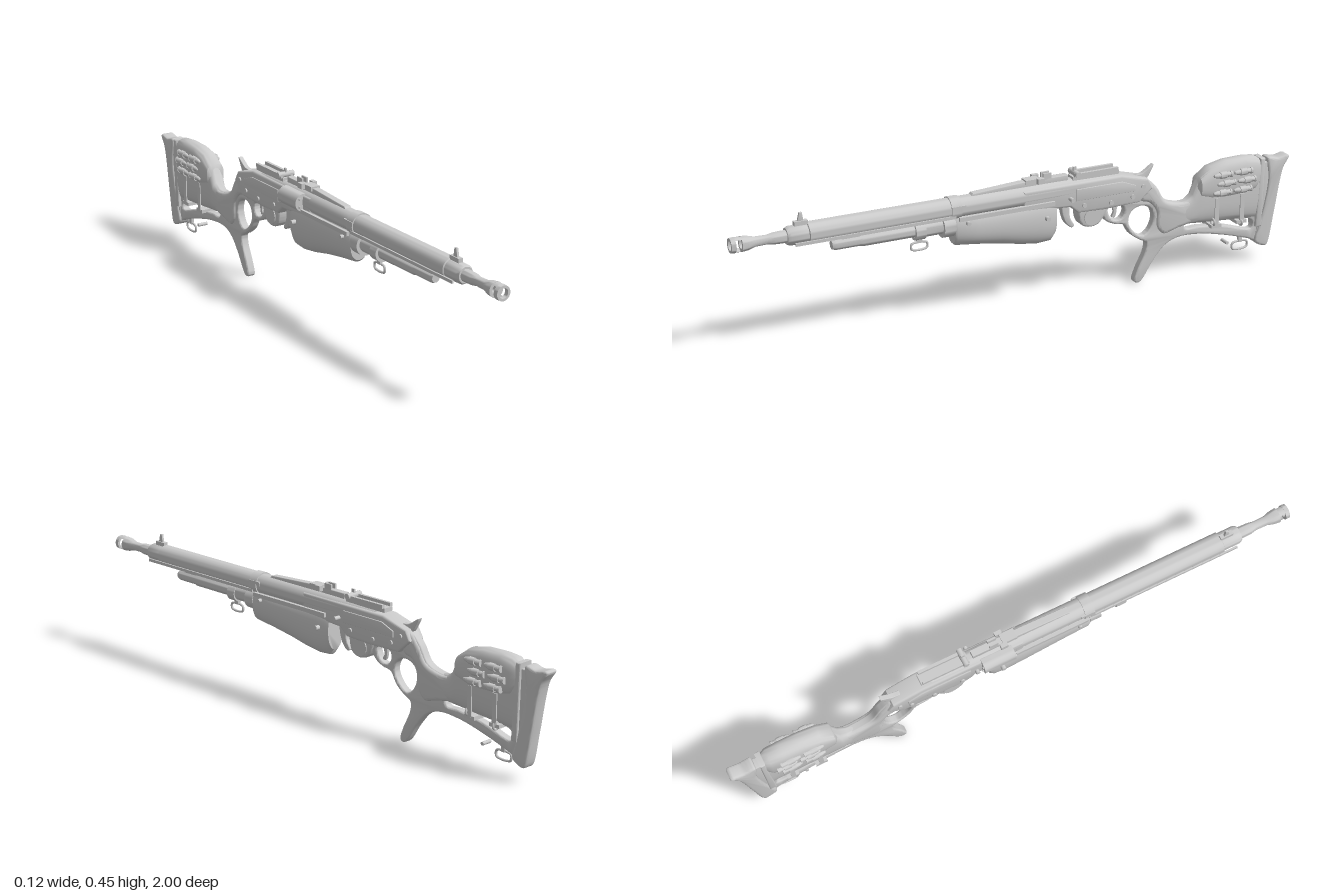
import * as THREE from 'three';
import { toCreasedNormals } from 'three/addons/utils/BufferGeometryUtils.js';

const mat = new THREE.MeshStandardMaterial({ color: 0xcccccc, side: THREE.DoubleSide });

export function createModel() {
  const root = new THREE.Group();
  const add = (name, geo, x = 0, y = 0, z = 0) => {
    const m = new THREE.Mesh(geo, mat);
    m.name = name;
    m.position.set(x, y, z);
    root.add(m);
    return m;
  };
  const box = (name, w, h, d, x, y, z) => add(name, new THREE.BoxGeometry(w, h, d), x, y, z);
  // Turned part along z from [z, radius] pairs, given from back to front
  const turn = (name, profile, y, x = 0, segs = 32) => {
    const pts = profile.map(([z, r]) => new THREE.Vector2(r, z));
    const g = new THREE.LatheGeometry(pts, segs).rotateX(Math.PI / 2);
    return add(name, toCreasedNormals(g, 0.6), x, y, 0);
  };
  const rod = (name, r, z0, z1, y, x = 0, segs = 24) =>
    turn(name, [[z0, 0], [z0, r], [z1, r], [z1, 0]], y, x, segs);
  // Cross pin along x
  const pin = (name, r, len, x, y, z) =>
    add(name, new THREE.CylinderGeometry(r, r, len, 16).rotateZ(Math.PI / 2), x, y, z);
  const smooth = (pts, n = 90) => new THREE.CatmullRomCurve3(
    pts.map(([z, y]) => new THREE.Vector3(z, y, 0)), true, 'centripetal').getPoints(n)
    .slice(0, -1).map(p => new THREE.Vector2(p.x, p.y));
  const straight = pts => pts.map(p => new THREE.Vector2(...p));
  // Side outline in (z, y), extruded across x with a rounded edge
  const slab = (name, outline, half, bevel, holes = [], x = 0) => {
    const s = new THREE.Shape(outline);
    holes.forEach(h => s.holes.push(new THREE.Path(h)));
    const depth = 2 * (half - bevel);
    const g = new THREE.ExtrudeGeometry(s, {
      depth, bevelEnabled: true, bevelThickness: bevel, bevelSize: bevel,
      bevelOffset: -bevel, bevelSegments: 3, curveSegments: 24
    }).translate(0, 0, -depth / 2).rotateY(-Math.PI / 2);
    return add(name, toCreasedNormals(g, 0.6), x);
  };
  // Superellipse sections along z: [z, bottom, top, half width], front to back
  const loft = (name, sections, power = 2, n = 32) => {
    const pos = [], idx = [];
    const bend = v => Math.sign(v) * Math.abs(v) ** (2 / power);
    sections.forEach(([z, y0, y1, w]) => {
      for (let i = 0; i < n; i++) {
        const a = i / n * 2 * Math.PI;
        pos.push(w * bend(Math.cos(a)), (y0 + y1) / 2 + (y1 - y0) / 2 * bend(Math.sin(a)), z);
      }
    });
    const last = (sections.length - 1) * n;
    for (let s = 0; s < last; s += n) for (let i = 0; i < n; i++) {
      const j = (i + 1) % n;
      idx.push(s + i, s + n + i, s + j, s + j, s + n + i, s + n + j);
    }
    for (let i = 1; i < n - 1; i++) idx.push(0, i, i + 1, last, last + i + 1, last + i);
    const g = new THREE.BufferGeometry();
    g.setAttribute('position', new THREE.Float32BufferAttribute(pos, 3));
    g.setIndex(idx);
    return add(name, toCreasedNormals(g, 0.7));
  };
  // Wire loop lying in the side plane
  const loop = (name, x, y, z, rz, ry) => {
    const path = smooth([[-rz, -ry], [rz, -ry], [rz, ry], [-rz, ry]], 32)
      .map(p => new THREE.Vector3(0, p.y, p.x));
    add(name, new THREE.TubeGeometry(new THREE.CatmullRomCurve3(path, true), 40, 0.004, 8, true), x, y, z);
  };

  // Barrel, shroud and ported muzzle
  turn('barrel', [[0.7, 0.017], [0.83, 0.02], [0.86, 0.019], [0.88, 0.015], [0.92, 0.016],
    [0.945, 0.023], [0.965, 0.025], [0.965, 0.015], [0.9, 0.014], [0.9, 0]], 0.382);
  for (const a of [0, Math.PI]) {
    const arc = new THREE.CylinderGeometry(0.024, 0.024, 0.03, 12, 1, true, a - 0.7, 1.4).rotateX(Math.PI / 2);
    add('muzzleBridge', arc, 0, 0.382, 0.978);
  }
  turn('muzzleRing', [[0.985, 0.016], [0.985, 0.025], [1, 0.024], [1, 0.016], [0.985, 0.016]], 0.382);
  turn('barrelShroud', [[-0.3, 0], [-0.3, 0.032], [-0.1, 0.035], [0.75, 0.035], [0.752, 0.031],
    [0.81, 0.031], [0.82, 0.026], [0.82, 0.018]], 0.382);
  for (const s of [-1, 1]) {
    box('shroudRail', 0.006, 0.01, 0.54, s * 0.033, 0.361, 0.53);
    box('shroudClip', 0.008, 0.014, 0.05, s * 0.034, 0.39, 0.25);
  }
  turn('shroudBand', [[0.24, 0.033], [0.24, 0.039], [0.275, 0.039], [0.275, 0.033]], 0.382);

  // Front sight
  box('frontSightBase', 0.016, 0.014, 0.045, 0, 0.419, 0.77);
  slab('frontSightBlade', straight([[0.782, 0.42], [0.76, 0.42], [0.765, 0.453], [0.774, 0.453]]), 0.004, 0.001);

  // Lower tube under the barrel
  turn('lowerTube', [[0.1, 0.03], [0.29, 0.03], [0.3, 0.026], [0.37, 0.026], [0.375, 0.021],
    [0.57, 0.021], [0.58, 0.018], [0.66, 0.018], [0.672, 0.014], [0.672, 0]], 0.327);
  turn('tubeBand', [[0.26, 0.02], [0.26, 0.037], [0.3, 0.037], [0.3, 0.02]], 0.325);
  turn('tubeCollar', [[0.36, 0.02], [0.36, 0.03], [0.395, 0.03], [0.395, 0.02]], 0.325);
  box('tubeBridge', 0.018, 0.04, 0.26, 0, 0.35, 0.51);
  box('frontSlingMount', 0.01, 0.022, 0.018, 0, 0.294, 0.375);
  loop('frontSlingLoop', 0, 0.272, 0.375, 0.026, 0.009);

  // Forend grip
  loft('forend', [[0.262, 0.262, 0.365, 0.034], [0.255, 0.255, 0.37, 0.038], [0.18, 0.246, 0.37, 0.039],
    [0.09, 0.232, 0.37, 0.04], [0.02, 0.217, 0.37, 0.04], [-0.04, 0.209, 0.37, 0.04],
    [-0.085, 0.212, 0.37, 0.038], [-0.1, 0.232, 0.365, 0.034]], 2.2);
  for (const s of [-1, 1]) {
    box('forendRail', 0.01, 0.014, 0.34, s * 0.037, 0.352, 0.08);
    pin('forendScrew', 0.007, 0.014, s * 0.04, 0.335, 0.22);
    pin('forendLug', 0.008, 0.02, s * 0.044, 0.305, -0.06);
  }

  // Receiver
  slab('receiver', straight([[0.02, 0.405], [-0.34, 0.405], [-0.44, 0.378], [-0.46, 0.345], [-0.41, 0.3],
    [-0.28, 0.296], [-0.18, 0.3], [-0.15, 0.325], [0.02, 0.335]]), 0.033, 0.008);
  slab('magazineWell', smooth([[-0.19, 0.32], [-0.195, 0.255], [-0.225, 0.24], [-0.265, 0.25], [-0.29, 0.32]]), 0.024, 0.006);
  pin('feedDrum', 0.03, 0.054, 0, 0.276, -0.235);
  slab('releaseLever', smooth([[-0.13, 0.33], [-0.14, 0.27], [-0.165, 0.245], [-0.175, 0.25], [-0.16, 0.28], [-0.152, 0.33]], 40), 0.012, 0.003);
  for (const s of [-1, 1]) {
    slab('receiverSidePlate', straight([[-0.17, 0.385], [-0.34, 0.385], [-0.39, 0.365], [-0.39, 0.345], [-0.17, 0.345]]), 0.003, 0.001, [], s * 0.034);
    for (const [z, y] of [[-0.2, 0.325], [-0.3, 0.318], [-0.38, 0.325], [-0.42, 0.355]])
      pin('receiverPin', 0.008, 0.008, s * 0.034, y, z);
  }
  pin('crossBolt', 0.007, 0.1, 0.005, 0.356, -0.148);
  slab('hammerSpur', smooth([[-0.4, 0.385], [-0.43, 0.392], [-0.472, 0.417], [-0.462, 0.395], [-0.44, 0.365], [-0.4, 0.365]], 40), 0.008, 0.002);

  // Rounded side cover and its hinge pins
  rod('sideCover', 0.03, -0.13, -0.02, 0.381, -0.032);
  for (const y of [0.368, 0.394]) rod('coverPin', 0.004, -0.134, -0.012, y, -0.047, 10);

  // Top ramp and rear sight
  slab('topRamp', straight([[0.2, 0.412], [0.19, 0.422], [0.02, 0.432], [-0.15, 0.432], [-0.15, 0.41]]), 0.012, 0.002);
  box('rampSlider', 0.034, 0.014, 0.05, 0, 0.43, -0.02);
  box('sightBase', 0.036, 0.014, 0.17, 0, 0.416, -0.25);
  for (const s of [-1, 1]) box('sightRail', 0.01, 0.012, 0.16, s * 0.018, 0.428, -0.25);
  pin('sightWindageKnob', 0.01, 0.06, 0, 0.431, -0.18);
  for (const s of [-1, 1]) {
    box('rearSightEar', 0.006, 0.022, 0.03, s * 0.009, 0.438, -0.075);
    box('rearSightWing', 0.014, 0.018, 0.024, s * 0.023, 0.431, -0.045);
  }
  box('rearSightLeaf', 0.005, 0.03, 0.012, 0, 0.437, -0.18);

  // Skeleton stock: grip, finger ring, spike and lower bar
  const ring = smooth([[-0.425, 0.278], [-0.462, 0.262], [-0.473, 0.225], [-0.457, 0.185], [-0.432, 0.17],
    [-0.395, 0.195], [-0.378, 0.23], [-0.39, 0.265]], 48);
  const triggerHole = smooth([[-0.3, 0.288], [-0.355, 0.288], [-0.362, 0.265], [-0.345, 0.243], [-0.315, 0.25]], 40);
  const gap = smooth([[-0.595, 0.19], [-0.7, 0.175], [-0.86, 0.155], [-0.862, 0.125], [-0.75, 0.152], [-0.65, 0.166], [-0.6, 0.168]], 60);
  slab('stockFrame', smooth([[-0.3, 0.35], [-0.43, 0.377], [-0.48, 0.34], [-0.517, 0.285], [-0.58, 0.265], [-0.63, 0.27],
    [-0.885, 0.27], [-0.895, 0.16], [-0.885, 0.075], [-0.85, 0.087], [-0.75, 0.117], [-0.65, 0.138], [-0.57, 0.14], [-0.52, 0.12],
    [-0.475, 0.07], [-0.435, 0.01], [-0.418, 0], [-0.405, 0.008], [-0.415, 0.045], [-0.445, 0.11], [-0.447, 0.142],
    [-0.42, 0.158], [-0.385, 0.185], [-0.36, 0.222], [-0.325, 0.23], [-0.29, 0.25], [-0.27, 0.3]], 150),
  0.015, 0.006, [ring, triggerHole, gap]);
  slab('trigger', smooth([[-0.318, 0.3], [-0.325, 0.27], [-0.318, 0.253], [-0.328, 0.25], [-0.336, 0.27], [-0.334, 0.3]], 36), 0.005, 0.001);
  slab('gripSwell', smooth([[-0.41, 0.37], [-0.44, 0.374], [-0.48, 0.336], [-0.515, 0.284], [-0.58, 0.264], [-0.64, 0.265],
    [-0.64, 0.2], [-0.56, 0.175], [-0.51, 0.165], [-0.485, 0.195], [-0.482, 0.25], [-0.455, 0.285], [-0.42, 0.3]]), 0.023, 0.012);

  // Butt body with cheek rest
  loft('buttBody', [[-0.55, 0.185, 0.262, 0.018], [-0.6, 0.182, 0.268, 0.024], [-0.625, 0.18, 0.285, 0.028],
    [-0.645, 0.178, 0.335, 0.03], [-0.67, 0.176, 0.36, 0.031], [-0.72, 0.172, 0.378, 0.031],
    [-0.8, 0.165, 0.384, 0.03], [-0.888, 0.155, 0.376, 0.026]], 2.8);
  loft('cheekRest', [[-0.637, 0.29, 0.31, 0.02], [-0.648, 0.27, 0.345, 0.034], [-0.69, 0.255, 0.376, 0.038],
    [-0.75, 0.25, 0.389, 0.039], [-0.82, 0.253, 0.391, 0.038], [-0.865, 0.265, 0.387, 0.036],
    [-0.885, 0.29, 0.375, 0.026]], 2.8);

  // Cartridges held in loops on both sides
  const shell = [[-0.034, 0], [-0.034, 0.011], [-0.028, 0.011], [-0.028, 0.009], [0.02, 0.009], [0.034, 0.005], [0.037, 0]];
  for (const s of [-1, 1]) for (let row = 0; row < 3; row++) for (let col = 0; col < 2; col++) {
    const z = -0.725 - col * 0.08 - (row % 2) * 0.015, y = 0.348 - row * 0.032;
    turn('cartridge', shell, y, s * 0.038, 14).position.z = z;
    turn('cartridgeLoop', [[-0.012, 0.009], [-0.012, 0.012], [0.012, 0.012], [0.012, 0.009]], y, s * 0.038, 14).position.z = z;
  }
  for (const s of [-1, 1]) for (const z of [-0.71, -0.81])
    box('pouchStrap', 0.004, 0.1, 0.016, s * 0.031, 0.215, z);
  for (const z of [-0.71, -0.81]) box('strapBuckle', 0.064, 0.012, 0.04, 0, 0.163, z);

  // Butt plate and spacers
  slab('buttSpacer', straight([[-0.882, 0.378], [-0.9, 0.378], [-0.895, 0.13], [-0.872, 0.13]]), 0.027, 0.004);
  slab('buttGroove', straight([[-0.895, 0.36], [-0.925, 0.36], [-0.91, 0.1], [-0.88, 0.1]]), 0.018, 0.003);
  slab('buttPlate', smooth([[-0.915, 0.374], [-0.955, 0.368], [-0.995, 0.374], [-1, 0.368], [-0.98, 0.335], [-0.968, 0.29],
    [-0.948, 0.17], [-0.925, 0.057], [-0.915, 0.052], [-0.875, 0.073], [-0.885, 0.12], [-0.905, 0.2], [-0.92, 0.3]]), 0.024, 0.008);

  // Rear sling fittings and side hooks
  box('rearSlingMount', 0.01, 0.03, 0.014, 0, 0.09, -0.825);
  loop('rearSlingLoop', 0, 0.064, -0.825, 0.028, 0.01);
  pin('frameStud', 0.006, 0.036, 0.008, 0.09, -0.76);
  for (const [y, z] of [[0.178, -0.7], [0.16, -0.81]]) {
    const hook = new THREE.TorusGeometry(0.011, 0.004, 8, 20);
    add('strapHook', hook, 0.024, y, z);
  }
  return root;
}
